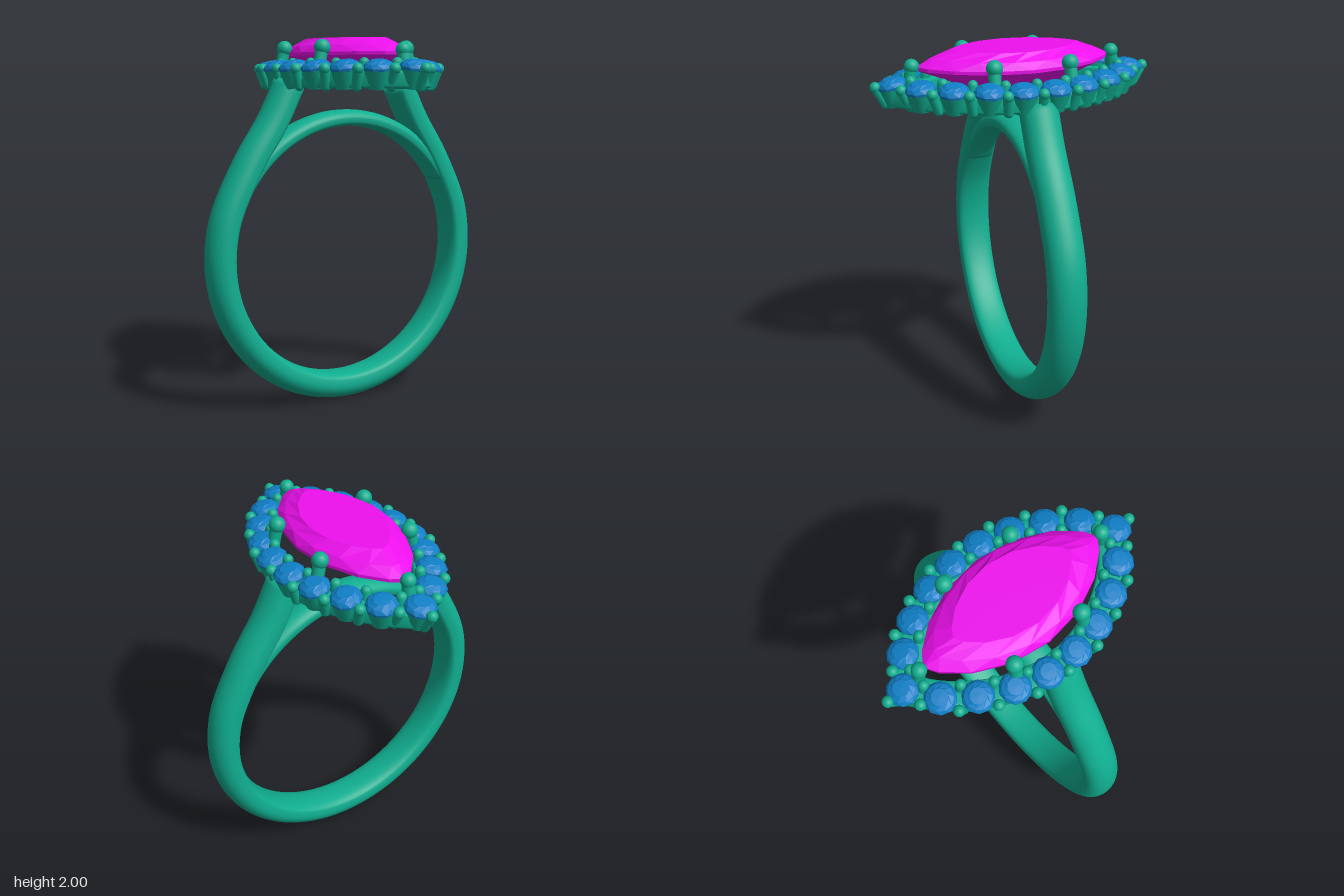
import * as THREE from 'three';
import { toCreasedNormals } from 'three/addons/utils/BufferGeometryUtils.js';

const V = (x, y, z) => new THREE.Vector3(x, y, z);
const metal = new THREE.MeshStandardMaterial({ color: 0x10ae90 });
const blue = new THREE.MeshStandardMaterial({ color: 0x0f7fc6, flatShading: true });
const magenta = new THREE.MeshStandardMaterial({ color: 0xee10ee, flatShading: true });

// Skin a list of closed rings that all have the same number of points
function loft(rings) {
  const n = rings[0].length, index = [];
  for (let i = 0; i < rings.length - 1; i++) {
    for (let j = 0; j < n; j++) {
      const a = i * n + j, b = i * n + (j + 1) % n, c = a + n, d = b + n;
      index.push(a, c, b, b, c, d);
    }
  }
  const g = new THREE.BufferGeometry().setFromPoints(rings.flat());
  g.setIndex(index);
  g.computeVertexNormals();
  return g;
}

// Pointed oval in the x-z plane; p = 1 is an ellipse, higher is more pointed
function marquise(a, b, y, p, n, shift = 0) {
  return Array.from({ length: n }, (_, i) => {
    const t = (i + shift) / n * Math.PI * 2, c = Math.cos(t);
    return V(a * Math.sign(c) * Math.abs(c) ** p, y, b * Math.sin(t));
  });
}

// D-shaped band swept along a path in the x-y plane, capped at both ends
function band(curve, steps, outer, inner, halfWidth) {
  const rings = [], n = 28;
  for (let i = 0; i <= steps; i++) {
    const p = curve.getPointAt(i / steps), t = curve.getTangentAt(i / steps);
    rings.push(Array.from({ length: n }, (_, j) => {
      const c = Math.cos(j / n * Math.PI * 2), s = Math.sin(j / n * Math.PI * 2);
      const d = c > 0 ? outer * c : -inner * Math.sqrt(-c);
      return V(p.x + t.y * d, p.y - t.x * d, halfWidth * s);
    }));
  }
  const cap = u => Array.from({ length: n }, () => curve.getPointAt(u));
  return loft([cap(0), ...rings, cap(1)]);
}

function add(parent, name, geometry, material) {
  const m = new THREE.Mesh(geometry, material);
  m.name = name;
  parent.add(m);
  return m;
}

// Round-ended rod between two points
function rod(parent, name, from, to, r) {
  const dir = to.clone().sub(from);
  const m = add(parent, name, new THREE.CapsuleGeometry(r, dir.length(), 6, 12), metal);
  m.position.copy(from).add(to).multiplyScalar(0.5);
  m.quaternion.setFromUnitVectors(V(0, 1, 0), dir.normalize());
}

function bead(parent, name, p, r) {
  add(parent, name, new THREE.SphereGeometry(r, 18, 12), metal).position.copy(p);
}

// Call fn for each [x, z] in all four quadrants, without doubling points on an axis
function mirrored(list, fn) {
  for (const [x, z] of list)
    for (const sx of x ? [1, -1] : [1])
      for (const sz of z ? [1, -1] : [1]) fn(x * sx, z * sz);
}

export function createModel() {
  const ring = new THREE.Group();
  ring.name = 'ring';

  // Shank: round below, sweeping up into straight shoulders
  const cy = 0.84, R = 0.755;
  const shoulder = [[0.585, 1.345], [0.445, 1.56], [0.345, 1.755]];
  const path = shoulder.map(([x, y]) => V(-x, y, 0)).reverse();
  for (let deg = 160; deg <= 380; deg += 10) {
    const t = deg * Math.PI / 180;
    path.push(V(R * Math.cos(t), cy + R * Math.sin(t), 0));
  }
  path.push(...shoulder.map(([x, y]) => V(x, y, 0)));
  add(ring, 'shank', band(new THREE.CatmullRomCurve3(path), 140, 0.085, 0.065, 0.1), metal);

  // Arch closing the finger hole under the setting
  const arch = [];
  for (let deg = 32; deg <= 148; deg += 4) {
    const t = deg * Math.PI / 180;
    arch.push(V(0.733 * Math.cos(t), cy + 0.733 * Math.sin(t), 0));
  }
  add(ring, 'arch', band(new THREE.CatmullRomCurve3(arch), 60, 0.047, 0.043, 0.085), metal);

  // Halo base: pointed oval frame with an open middle
  const outline = (a, b) => marquise(a, b, 0, 1.7, 80).map(p => new THREE.Vector2(p.x, p.z));
  const frame = new THREE.Shape(outline(0.395, 0.69));
  frame.holes.push(new THREE.Path(outline(0.3, 0.56)));
  const frameGeometry = new THREE.ExtrudeGeometry(frame, {
    depth: 0.06, bevelThickness: 0.015, bevelSize: 0.015, bevelSegments: 3,
  });
  frameGeometry.rotateX(-Math.PI / 2).translate(0, 1.755, 0);
  add(ring, 'haloFrame', toCreasedNormals(frameGeometry, 0.7), metal);

  // Halo stones in cups, tilted slightly outward
  const halo = new THREE.Group();
  halo.name = 'halo';
  ring.add(halo);
  const circle = (r, y, shift) => marquise(r, r, y, 1, 10, shift);
  const stoneGeometry = loft([
    circle(0, -0.055, 0), circle(0.08, -0.008, 0), circle(0.081, 0.004, 0),
    circle(0.067, 0.022, 0.5), circle(0.042, 0.035, 0), circle(0, 0.037, 0),
  ]);
  const cupGeometry = new THREE.CylinderGeometry(0.076, 0.058, 0.095, 20);
  mirrored([[0, 0.66], [0.143, 0.55], [0.25, 0.41], [0.325, 0.25], [0.365, 0.085]], (x, z) => {
    const seat = new THREE.Group();
    seat.name = 'haloSeat';
    const out = V(x / 0.14, 0, z / 0.45).normalize();
    seat.position.set(x, 1.845, z);
    seat.quaternion.setFromUnitVectors(V(0, 1, 0), out.multiplyScalar(0.2).setY(1).normalize());
    add(seat, 'haloStone', stoneGeometry, blue);
    add(seat, 'haloCup', cupGeometry, metal).position.y = -0.056;
    halo.add(seat);
  });

  // Outer and inner prongs between the halo stones
  mirrored([[0, 0.747], [0.107, 0.64], [0.245, 0.52], [0.34, 0.36], [0.407, 0.185], [0.418, 0]], (x, z) => {
    const top = V(x, 1.838, z);
    rod(halo, 'outerProng', V(x * 0.93, 1.75, z * 0.93), top, 0.026);
    bead(halo, 'outerProngTip', top, 0.029);
  });
  mirrored([[0.05, 0.575], [0.157, 0.44], [0.243, 0.31], [0.305, 0.16], [0.322, 0]], (x, z) => {
    rod(halo, 'innerProng', V(x * 1.02, 1.78, z * 1.02), V(x, 1.868, z), 0.027);
  });

  // Centre stone: keel, pavilion, girdle, crown, table
  const cut = (a, b, y, shift = 0) => marquise(a, b, y, 1.5, 16, shift);
  add(ring, 'centreStone', loft([
    cut(0, 0.12, 1.765), cut(0.15, 0.33, 1.825, 0.5), cut(0.27, 0.53, 1.908), cut(0.27, 0.53, 1.925),
    cut(0.245, 0.46, 1.962, 0.5), cut(0.19, 0.35, 2), cut(0, 0, 2),
  ]), magenta);

  // Six main prongs holding the centre stone
  mirrored([[0.262, 0.203], [0, 0.555]], (x, z) => {
    const r = x ? 0.043 : 0.039, top = V(x, x ? 1.947 : 1.931, z);
    rod(ring, 'mainProng', V(x * 1.13, 1.79, z * 1.04), top, 0.033);
    bead(ring, 'mainProngTip', top, r);
  });

  return ring;
}
